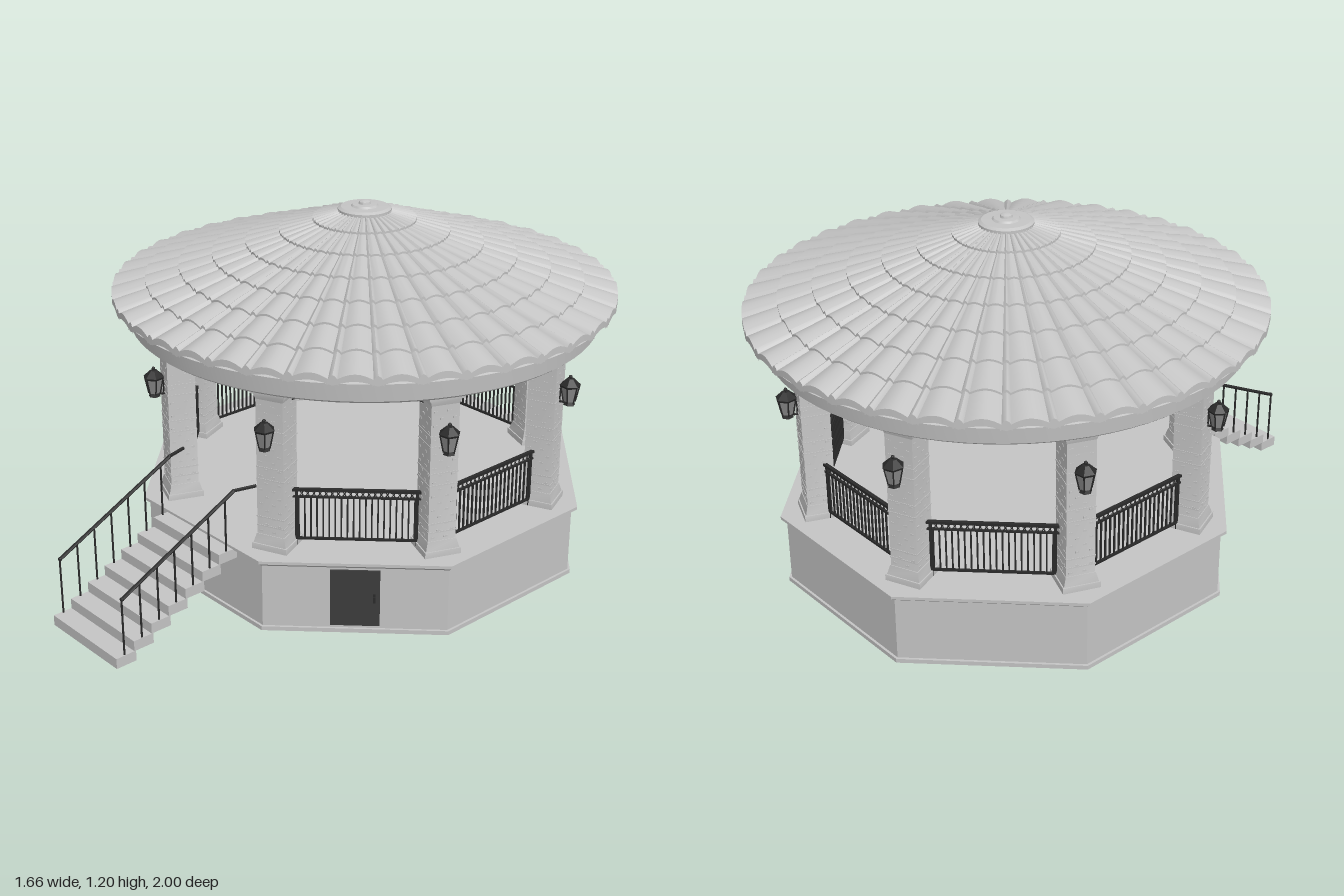
import * as THREE from 'three';
import { mergeGeometries, toCreasedNormals } from 'three/addons/utils/BufferGeometryUtils.js';

const paint = (name, color, side = THREE.FrontSide) => {
  const m = new THREE.MeshStandardMaterial({ color, side });
  m.name = name;
  return m;
};

const box = (w, h, d, x, y, z) => new THREE.BoxGeometry(w, h, d).translate(x, y, z);
// prism or frustum with flats facing the axes; sizes are half widths
const prism = (top, bottom, y0, y1, n) => {
  const k = 1 / Math.cos(Math.PI / n);
  return new THREE.CylinderGeometry(top * k, bottom * k, y1 - y0, n, 1, false, Math.PI / n)
    .translate(0, (y0 + y1) / 2, 0);
};
const bar = (a, b, r, n = 6) => new THREE.TubeGeometry(
  new THREE.LineCurve3(new THREE.Vector3(...a), new THREE.Vector3(...b)), 1, r, n);
const join = (list, crease = 0.6) =>
  toCreasedNormals(mergeGeometries(list.map(g => (g.index ? g.toNonIndexed() : g))), crease);

// roof slope and one curved tile with a front lip
const slope = r => 0.893 + (0.83 - r) * 0.352;
function tile(mid, half, height, rOut, rIn, lift, seg) {
  const pos = [], uv = [], index = [];
  const rows = [[rIn, 0.002, 1], [rOut, lift, 1], [rOut, -0.004, 0.6]];
  rows.forEach(([r, up, bulge]) => {
    for (let i = 0; i <= seg; i++) {
      const t = i / seg, a = mid + (2 * t - 1) * half(r);
      const y = slope(r) + up + bulge * height(r) * Math.sin(Math.PI * t);
      pos.push(r * Math.sin(a), y, r * Math.cos(a));
      uv.push(t, 0);
    }
  });
  for (let j = 0; j < 2; j++) {
    for (let i = 0; i < seg; i++) {
      const a = j * (seg + 1) + i, b = a + seg + 1;
      index.push(a, b, b + 1, a, b + 1, a + 1);
    }
  }
  const g = new THREE.BufferGeometry();
  g.setAttribute('position', new THREE.Float32BufferAttribute(pos, 3));
  g.setAttribute('uv', new THREE.Float32BufferAttribute(uv, 2));
  g.setIndex(index);
  g.computeVertexNormals();
  return g;
}

export function createModel() {
  const stone = paint('stone', 0xc4c4c4);
  const roofing = paint('roofing', 0xc4c4c4, THREE.DoubleSide);
  const iron = paint('iron', 0x2a2a2a);
  const doorPaint = paint('doorPaint', 0x3c3c3c);
  const glass = paint('glass', 0x8c8c8c);

  const root = new THREE.Group();
  root.name = 'bandstand';
  const pavilion = new THREE.Group();
  pavilion.name = 'pavilion';
  pavilion.position.z = -0.17;
  root.add(pavilion);
  const add = (parent, name, geometry, material) => {
    const mesh = new THREE.Mesh(geometry, material);
    mesh.name = name;
    parent.add(mesh);
    return mesh;
  };

  // octagonal platform
  add(pavilion, 'platform', join([
    prism(0.705, 0.705, 0, 0.014, 8),
    prism(0.697, 0.697, 0.014, 0.232, 8),
    prism(0.715, 0.7, 0.228, 0.24, 8),
    prism(0.715, 0.715, 0.24, 0.25, 8),
  ]), stone);

  // service door on the front left diagonal wall
  const door = new THREE.Group();
  door.name = 'door';
  door.rotation.y = Math.PI / 4;
  pavilion.add(door);
  add(door, 'doorPanel', box(0.155, 0.195, 0.008, 0, 0.122, 0.699), doorPaint);
  add(door, 'doorHandle', join([box(0.007, 0.03, 0.008, 0.06, 0.125, 0.706),
    box(0.007, 0.007, 0.016, 0.06, 0.13, 0.708)]), iron);

  // column: stepped foot, shaft with proud bricks and bands, stepped capital
  const W = 0.092, h = W / 2;
  const columnParts = [
    prism(0.06, 0.06, 0.25, 0.27, 4), prism(h + 0.002, 0.056, 0.27, 0.3, 4),
    prism(h, h, 0.3, 0.765, 4),
    prism(0.052, h, 0.755, 0.775, 4), prism(0.058, 0.058, 0.775, 0.79, 4),
    prism(0.063, 0.063, 0.79, 0.812, 4),
  ];
  for (const y of [0.33, 0.36, 0.49, 0.53, 0.62, 0.655]) {
    columnParts.push(box(W + 0.003, 0.004, W + 0.003, 0, y, 0));
  }
  for (let row = 0; row < 19; row++) {
    for (let side = 0; side < 4; side++) {
      for (let k = 0; k < 2; k++) {
        const x = -0.032 + k * 0.044 + (row % 2) * 0.02;
        columnParts.push(box(0.012, 0.006, 0.003, x, 0.312 + row * 0.0235, h)
          .rotateY(side * Math.PI / 2));
      }
    }
  }
  const columnGeo = join(columnParts);

  // wall lantern
  const lanternIron = join([
    prism(0.012, 0.017, 0.608, 0.62, 6), prism(0.03, 0.027, 0.67, 0.677, 6),
    prism(0.01, 0.029, 0.677, 0.698, 6),
    new THREE.SphereGeometry(0.006, 8, 6).translate(0, 0.704, 0),
    ...Array.from({ length: 6 }, (_, i) => {
      const a = (i + 0.5) * Math.PI / 3, s = Math.sin(a), c = Math.cos(a);
      return bar([0.019 * s, 0.617, 0.019 * c], [0.031 * s, 0.673, 0.031 * c], 0.0025, 4);
    }),
    bar([0, 0.613, 0], [0, 0.613, -0.037], 0.004),
    bar([0, 0.613, -0.033], [0, 0.66, -0.033], 0.004),
  ]);
  const lanternGlass = join([prism(0.025, 0.015, 0.62, 0.67, 6)]);

  // railing panel and arched ironwork of one bay
  const Z = 0.596, half = 0.2;
  const railParts = [box(2 * half, 0.009, 0.012, 0, 0.441, Z),
    box(2 * half, 0.006, 0.008, 0, 0.417, Z), box(2 * half, 0.007, 0.008, 0, 0.272, Z)];
  for (const s of [-1, 1]) railParts.push(box(0.009, 0.195, 0.009, s * 0.187, 0.348, Z));
  for (let i = 0; i < 20; i++) {
    const x = -0.18 + i * 0.36 / 19;
    railParts.push(box(0.005, 0.146, 0.005, x, 0.345, Z));
    railParts.push(new THREE.TorusGeometry(0.0085, 0.0018, 4, 8).translate(x, 0.4285, Z));
  }
  const railGeo = join(railParts);
  const archY = x => 0.79 - 0.045 * (x / half) ** 2;
  const archCurve = new THREE.CatmullRomCurve3([-1, -0.75, -0.5, -0.25, 0, 0.25, 0.5, 0.75, 1]
    .map(t => new THREE.Vector3(t * half, archY(t * half), Z)));
  const archParts = [new THREE.TubeGeometry(archCurve, 20, 0.004, 6),
    box(2 * half, 0.006, 0.007, 0, 0.804, Z)];
  for (let i = 0; i < 21; i++) {
    const x = -0.19 + i * 0.019;
    archParts.push(box(0.0045, 0.806 - archY(x), 0.0045, x, (0.806 + archY(x)) / 2, Z));
  }
  const archGeo = join(archParts);

  for (let i = 0; i < 8; i++) {
    const bay = new THREE.Group();
    bay.name = 'bay';
    bay.rotation.y = i * Math.PI / 4;
    pavilion.add(bay);
    add(bay, 'archIronwork', archGeo, iron);
    if (i > 0) add(bay, 'railing', railGeo, iron); // front bay stays open

    const pier = new THREE.Group();
    pier.name = 'pier';
    pier.rotation.y = (i + 0.5) * Math.PI / 4;
    pavilion.add(pier);
    add(pier, 'column', columnGeo, stone).position.z = 0.645;
    add(pier, 'lanternFrame', lanternIron, iron).position.z = 0.724;
    add(pier, 'lanternGlass', lanternGlass, glass).position.z = 0.724;
  }

  // ring beam, ceiling and roof core
  const profile = [[0, 1.1], [0.56, 0.87], [0.56, 0.81], [0.765, 0.81], [0.775, 0.818],
    [0.783, 0.9], [0.822, 0.892], [0.06, 1.163], [0, 1.163]].map(p => new THREE.Vector2(...p));
  add(pavilion, 'roofBody', join([new THREE.LatheGeometry(profile, 80)], 0.5), roofing);

  // overlapping rows of wide tiles with narrow cover tiles over the joints
  const N = 40, rows = 7, step = (0.83 - 0.06) / rows;
  const wide = [], covers = [];
  for (let j = 0; j < rows; j++) {
    const rOut = 0.83 - j * step, rIn = Math.max(rOut - step - 0.008, 0.05);
    for (let i = 0; i < N; i++) {
      const a = i * 2 * Math.PI / N;
      wide.push(tile(a, () => Math.PI / N, r => 0.024 * r / 0.83, rOut, rIn, 0.009, 8));
      covers.push(tile(a + Math.PI / N, r => (0.002 + 0.015 * r / 0.83) / r,
        r => 0.004 + 0.014 * r / 0.83, rOut, rIn, 0.011, 4));
    }
  }
  add(pavilion, 'roofTiles', join(wide), roofing);
  add(pavilion, 'coverTiles', join(covers, 0.9), roofing);

  // crown
  const crown = [[0.088, 1.155], [0.088, 1.17], [0.078, 1.176], [0.045, 1.177], [0.04, 1.183],
    [0.02, 1.184], [0.018, 1.191], [0.009, 1.196], [0, 1.197]].map(p => new THREE.Vector2(...p));
  add(pavilion, 'crown', join([new THREE.LatheGeometry(crown, 32)], 0.5), roofing);

  // open stairs with handrails
  const stairs = new THREE.Group();
  stairs.name = 'stairs';
  root.add(stairs);
  const steps = [], handrails = [];
  const tread = 0.0665, rise = 0.0345;
  const railY = z => 0.225 + (0.965 - z) * 0.215 / 0.435;
  for (let i = 0; i < 7; i++) {
    const z = 1 - (i + 0.5) * tread;
    steps.push(box(0.34, rise, tread + 0.006, 0, (i + 0.5) * rise, z - 0.003));
    const top = Math.min(railY(z), 0.44), foot = (i + 1) * rise - 0.005;
    for (const s of [-1, 1]) handrails.push(bar([s * 0.165, foot, z], [s * 0.165, top, z], 0.0035));
  }
  for (const s of [-1, 1]) {
    handrails.push(bar([s * 0.165, 0.225, 0.965], [s * 0.165, 0.44, 0.53], 0.006));
    handrails.push(bar([s * 0.165, 0.44, 0.533], [s * 0.185, 0.44, 0.46], 0.006));
    handrails.push(new THREE.SphereGeometry(0.007, 8, 6).translate(s * 0.165, 0.225, 0.965));
  }
  add(stairs, 'steps', join(steps), stone);
  add(stairs, 'handrails', join(handrails), iron);

  return root;
}
